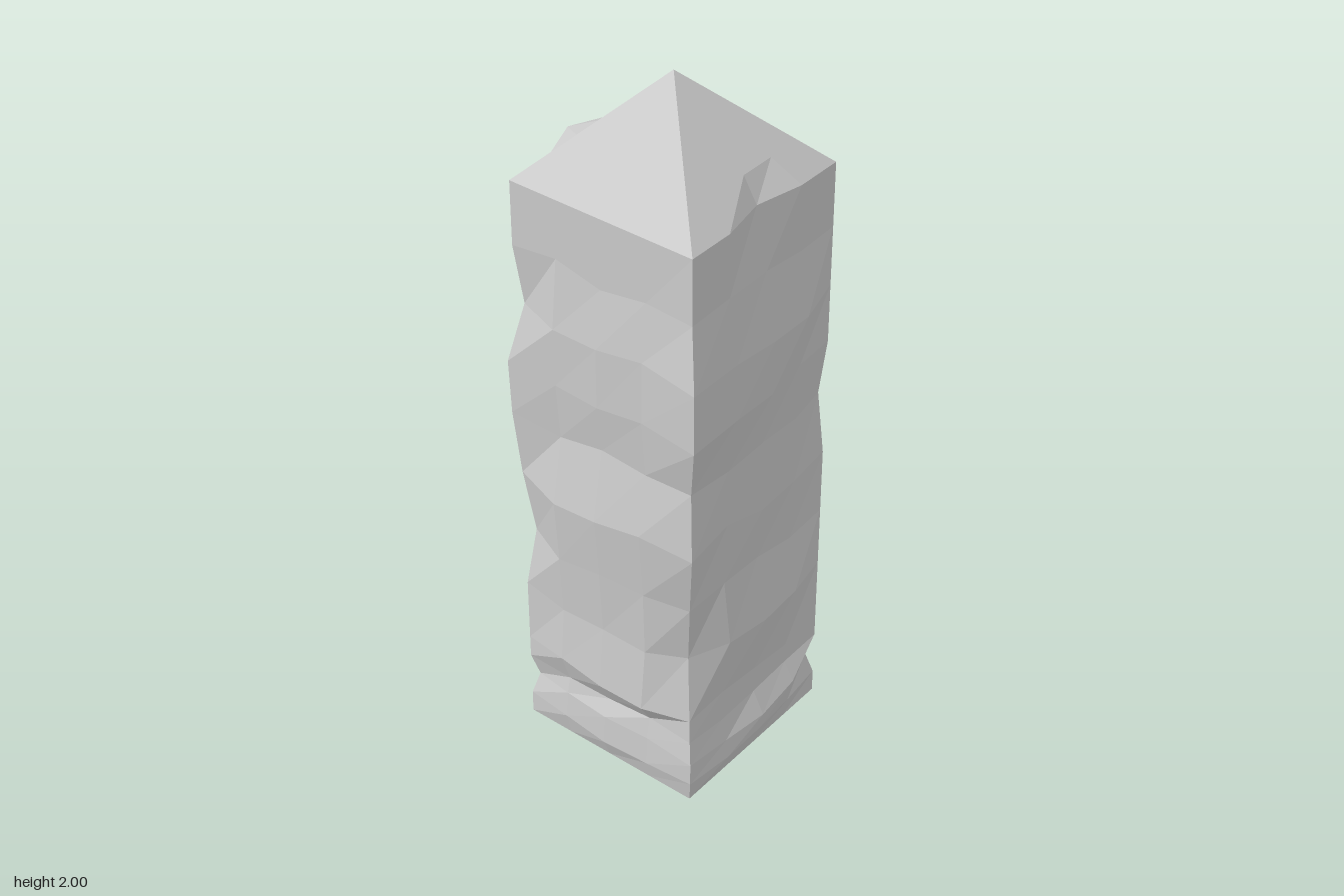
import * as THREE from 'three';

const HALF = 0.245;
const SEG = 4; // columns per side

// y, then outward offsets of the front, right, back and left faces,
// then of the corners front-right, back-right, back-left, front-left
const ROWS = [
  [0.25, 0, 0, 0, 0, 0, 0, 0, 0],
  [0.31, 0.02, 0.025, 0.015, 0, 0.01, 0, 0, 0],
  [0.37, 0.015, 0.03, 0.025, 0.022, 0.01, -0.015, 0, -0.015],
  [0.43, -0.005, 0, 0.005, -0.005, 0, 0, 0, 0],
  [0.49, 0.03, 0, 0, 0.005, -0.005, 0, 0, 0],
  [0.66, 0.015, 0.03, 0.02, 0.01, -0.027, 0, 0, 0],
  [0.82, 0.025, 0, 0.02, -0.005, -0.01, 0, 0, -0.019],
  [0.99, 0.038, 0.012, -0.005, 0, 0.015, 0, 0, 0],
  [1.16, 0.005, 0.008, 0.032, 0.02, 0, -0.012, 0, 0.012],
  [1.3, 0.02, 0.03, 0.038, 0.025, 0.03, 0, 0, 0.015],
  [1.45, 0.02, 0.033, 0, 0.025, 0.03, 0, 0, -0.015],
  [1.6, 0, 0.005, 0.025, 0, 0.003, 0, 0, 0],
  [1.76, 0, 0, 0, 0, 0, 0, 0, 0],
];

function seeded(seed) {
  let s = seed;
  return () => (s = (s * 16807) % 2147483647) / 2147483647;
}

// One square ring; out(side, column) and lift() displace its points
function ring(y, half, out = () => 0, lift = () => 0) {
  const points = [];
  for (let side = 0; side < 4; side++) {
    for (let c = 0; c < SEG; c++) {
      const o = out(side, c);
      const along = -half + (2 * half * c) / SEG - (c === 0 ? o : 0);
      const p = new THREE.Vector3(along, y + (c === 0 ? 0 : lift()), half + o);
      points.push(p.applyAxisAngle(new THREE.Vector3(0, 1, 0), (side * Math.PI) / 2));
    }
  }
  return points;
}

// Faceted skin over a stack of rings
function skin(rings) {
  const pos = [];
  const tri = (a, b, c) => {
    if (a.distanceTo(b) < 1e-5 || b.distanceTo(c) < 1e-5 || c.distanceTo(a) < 1e-5) return;
    for (const p of [a, b, c]) pos.push(p.x, p.y, p.z);
  };
  for (let r = 0; r < rings.length - 1; r++) {
    const lo = rings[r], up = rings[r + 1];
    for (let i = 0; i < lo.length; i++) {
      const j = (i + 1) % lo.length;
      tri(lo[i], lo[j], up[j]);
      tri(lo[i], up[j], up[i]);
    }
  }
  const geo = new THREE.BufferGeometry();
  geo.setAttribute('position', new THREE.Float32BufferAttribute(pos, 3));
  geo.computeVertexNormals();
  return geo;
}

export function createModel() {
  const group = new THREE.Group();
  group.name = 'crystal';
  const stone = new THREE.MeshStandardMaterial({ color: 0xcccccc, flatShading: true });
  stone.name = 'pale grey stone';
  const rand = seeded(4217);

  const rings = ROWS.map(([y, ...off], r) => {
    const edge = r === 0 || r === ROWS.length - 1;
    return ring(
      y,
      HALF,
      // column 0 is the corner at the start of each side
      (side, c) => (c === 0 ? off[4 + ((side + 3) % 4)] : off[side] * (c === 2 ? 1 : 0.35 + 0.65 * rand())),
      () => (edge ? 0 : (rand() - 0.5) * 0.03)
    );
  });

  // One chipped and one swollen point on the upper rim
  const top = rings[rings.length - 1];
  top[SEG + 2].x = 0.22;
  top[3 * SEG + 2].set(-0.285, 1.77, 0.01);

  const add = (name, list) => {
    const mesh = new THREE.Mesh(skin(list), stone);
    mesh.name = name;
    group.add(mesh);
  };
  add('lowerPoint', [ring(0, 0), ring(0.189, 0.185), rings[0]]);
  add('shaft', rings);
  add('upperPoint', [top, ring(1.819, 0.185), ring(2, 0)]);
  return group;
}
